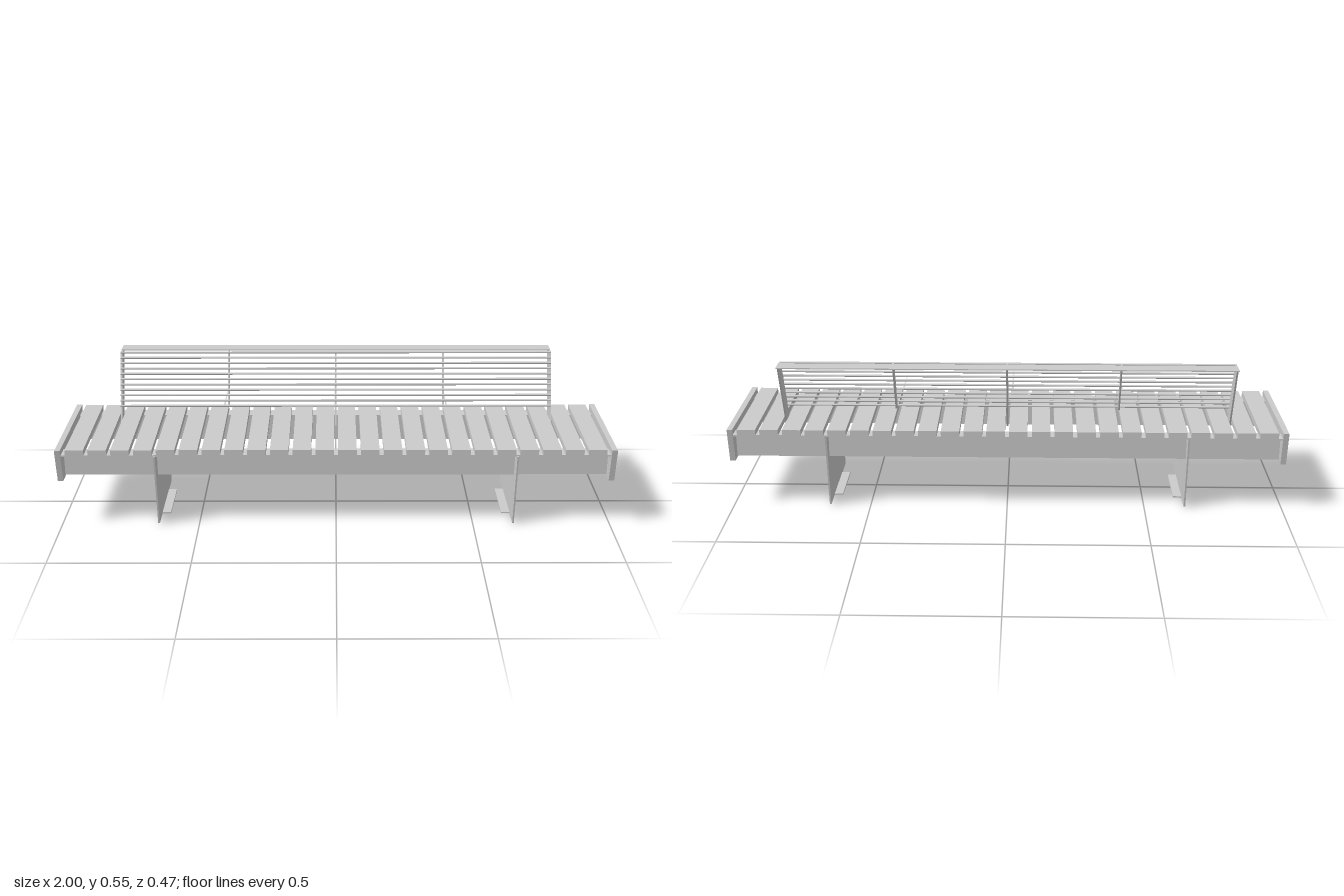
import * as THREE from 'three';

const material = new THREE.MeshStandardMaterial({ color: 0xcccccc });
const PITCH = 0.081; // spacing of the seat slats
const SHEET = 0.006; // sheet metal thickness

export function createModel() {
  const bench = new THREE.Group();

  function add(name, geometry, x = 0, y = 0, z = 0) {
    const mesh = new THREE.Mesh(geometry, material);
    mesh.name = name;
    mesh.position.set(x, y, z);
    bench.add(mesh);
    return mesh;
  }

  // Box given by its limits in y and z, centred on x
  function bar(name, length, y0, y1, z0, z1, x = 0) {
    add(name, new THREE.BoxGeometry(length, y1 - y0, z1 - z0), x, (y0 + y1) / 2, (z0 + z1) / 2);
  }

  // Upright plate cut from a [z, y] outline, with its thickness along x
  function plate(name, outline, thickness, x) {
    const shape = new THREE.Shape(outline.map(([z, y]) => new THREE.Vector2(z, y)));
    const geometry = new THREE.ExtrudeGeometry(shape, { depth: thickness, bevelEnabled: false });
    geometry.translate(0, 0, -thickness / 2).rotateY(-Math.PI / 2);
    add(name, geometry, x);
  }

  // Seat slats running front to back
  for (let i = 0; i < 24; i++) {
    bar('seatSlat', 0.066, 0.286, 0.307, -0.222, 0.228, (i - 11.5) * PITCH);
  }

  // Angle-section rails: upright web with a flange turned outward under the slats
  bar('frontRailWeb', 1.962, 0.187, 0.286, 0.165, 0.171);
  bar('frontRailFlange', 1.962, 0.28, 0.286, 0.165, 0.224);
  bar('backRailWeb', 1.962, 0.187, 0.286, -0.171, -0.165);
  bar('backRailFlange', 1.962, 0.28, 0.286, -0.218, -0.165);

  for (const side of [-1, 1]) {
    // Tapered end boards
    plate('endBoard', [[0.214, 0.182], [0.236, 0.307], [-0.224, 0.307], [-0.205, 0.182]],
      0.02, side * 0.99);

    // Tapered sheet legs, relieved beside the folded foot
    plate('leg', [
      [0.193, 0.002], [0.232, 0.281], [-0.22, 0.281], [-0.182, 0.002],
      [-0.1, 0.002], [-0.1, 0], [0.11, 0], [0.11, 0.002],
    ], SHEET, side * 8 * PITCH);
    bar('foot', 0.034, 0, SHEET, -0.098, 0.108, side * 0.631);
  }

  // Slope of the backrest's front edge
  const frontZ = (y) => -0.067 - (y - 0.307) * (0.096 / 0.238);
  const post = (name, bottom, depth, x) => plate(name, [
    [frontZ(bottom), bottom], [frontZ(0.543), 0.543],
    [frontZ(0.543) - depth, 0.543], [frontZ(bottom) - depth, bottom],
  ], SHEET, x);

  // Full posts stand in the slat gaps; shorter spacers carry the rods between them
  for (const x of [-0.805, 0, 0.805]) post('backPost', 0.286, 0.053, x);
  for (const x of [-0.403, 0.403]) post('rodSpacer', 0.35, 0.024, x);

  // Backrest rods along the front edge of the posts
  for (let i = 0; i < 11; i++) {
    const y = 0.355 + i * 0.0186;
    const rod = new THREE.CylinderGeometry(0.004, 0.004, 1.616, 10).rotateZ(Math.PI / 2);
    add('backRod', rod, 0, y, frontZ(y));
  }

  // Flat cap along the top of the backrest
  bar('backCap', 1.616, 0.541, 0.545, -0.236, -0.182);

  return bench;
}
